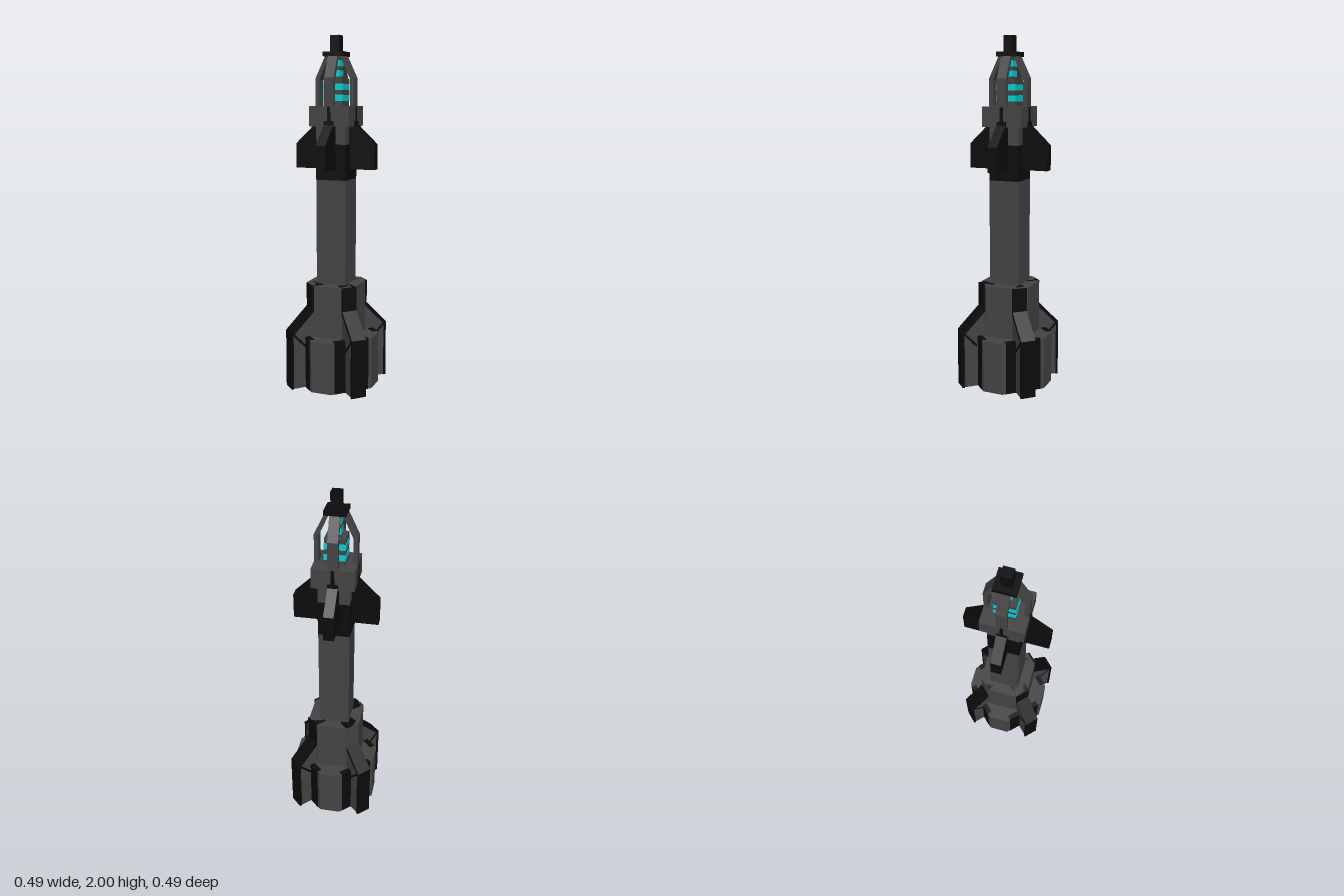
import * as THREE from 'three';

export function createModel() {
  const model = new THREE.Group();
  const mat = (name, color) => {
    const m = new THREE.MeshStandardMaterial({ color });
    m.name = name;
    return m;
  };
  const grey = mat('dark grey hull', 0x444444);
  const black = mat('black trim', 0x0b0b0b);
  const cyan = mat('cyan glow', 0x06ced2);

  // The body sits a hair off the centre of the lower fins
  const body = new THREE.Group();
  body.name = 'body';
  body.position.set(-0.005, 0, -0.005);
  model.add(body);

  const add = (parent, name, geometry, material) => {
    const mesh = new THREE.Mesh(geometry, material);
    mesh.name = name;
    parent.add(mesh);
    return mesh;
  };
  // Box between two heights, offset outward along x
  const box = (parent, name, material, w, d, y0, y1, x = 0) =>
    add(parent, name, new THREE.BoxGeometry(w, y1 - y0, d).translate(x, (y0 + y1) / 2, 0), material);
  // Plate outlined in (radius, height), centred on its thickness
  const plate = (parent, name, material, points, thick) => {
    const shape = new THREE.Shape(points.map(p => new THREE.Vector2(...p)));
    const g = new THREE.ExtrudeGeometry(shape, { depth: thick, bevelEnabled: false });
    return add(parent, name, g.translate(0, 0, -thick / 2), material);
  };
  // Eight-sided prism: half width of the square and half length of its flats
  const octagon = (name, material, a, f, y0, y1) => {
    const pts = [[a, -f], [a, f], [f, a], [-f, a], [-a, f], [-a, -f], [-f, -a], [f, -a]];
    const shape = new THREE.Shape(pts.map(p => new THREE.Vector2(...p)));
    const g = new THREE.ExtrudeGeometry(shape, { depth: y1 - y0, bevelEnabled: false });
    return add(body, name, g.rotateX(-Math.PI / 2).translate(0, y0, 0), material);
  };
  // Four copies around the axis
  const around = (parent, name, start, build) => {
    for (let i = 0; i < 4; i++) {
      const g = new THREE.Group();
      g.name = name;
      g.rotation.y = start + i * Math.PI / 2;
      build(g);
      parent.add(g);
    }
  };

  // Base, collar and shaft
  octagon('base', grey, 0.24, 0.06, 0, 0.3);
  octagon('collar', grey, 0.15, 0.088, 0.3, 0.6);
  box(body, 'shaft', grey, 0.175, 0.175, 0.6, 1.2);
  box(body, 'shaftBand', black, 0.177, 0.177, 1.2, 1.4);
  box(body, 'neck', grey, 0.175, 0.175, 1.4, 1.5);

  // Black panels on the slanted base sides
  around(body, 'basePanel', Math.PI / 4, g =>
    box(g, 'panel', black, 0.03, 0.21, 0.001, 0.304, 0.2));

  // Lower fins: grey plate with a black outer rim and a side strip
  around(model, 'lowerFin', Math.PI / 4, g => {
    plate(g, 'finPlate', grey,
      [[0.1, 0.002], [0.295, 0.002], [0.295, 0.33], [0.168, 0.46], [0.168, 0.595], [0.1, 0.595]], 0.08);
    plate(g, 'finRim', black,
      [[0.288, 0], [0.302, 0], [0.302, 0.333], [0.173, 0.465], [0.173, 0.6], [0.1, 0.6],
        [0.1, 0.585], [0.158, 0.585], [0.158, 0.452], [0.288, 0.32]], 0.087);
    plate(g, 'finStrip', black, [[0.212, 0.235], [0.212, 0.255], [0.29, 0.335], [0.29, 0.318]], 0.084);
  });

  // Upper fins and the thin strip rising above each
  around(body, 'upperFin', 0, g => {
    plate(g, 'fin', black,
      [[0.08, 1.26], [0.237, 1.26], [0.237, 1.4], [0.122, 1.51], [0.122, 1.53], [0.08, 1.53]], 0.056);
    box(g, 'strip', black, 0.008, 0.018, 1.53, 1.61, 0.116);
  });

  // Head block with a glowing core
  box(body, 'headBlock', grey, 0.234, 0.234, 1.5, 1.612);
  box(body, 'core', grey, 0.112, 0.112, 1.61, 1.762);
  for (const y of [1.64, 1.7]) box(body, 'coreGlow', cyan, 0.116, 0.116, y, y + 0.034);
  box(body, 'upperCore', grey, 0.056, 0.056, 1.76, 1.89);
  for (const y of [1.775, 1.83]) box(body, 'upperGlow', cyan, 0.059, 0.059, y, y + 0.034);

  // Cage posts bending in to the cap
  around(body, 'cagePost', 0, g =>
    plate(g, 'post', grey,
      [[0.092, 1.61], [0.116, 1.61], [0.116, 1.765], [0.056, 1.89], [0.034, 1.885], [0.092, 1.758]], 0.056));

  // Cap and tip
  box(body, 'cap', black, 0.118, 0.118, 1.885, 1.91);
  box(body, 'tip', black, 0.056, 0.056, 1.91, 2);

  return model;
}
